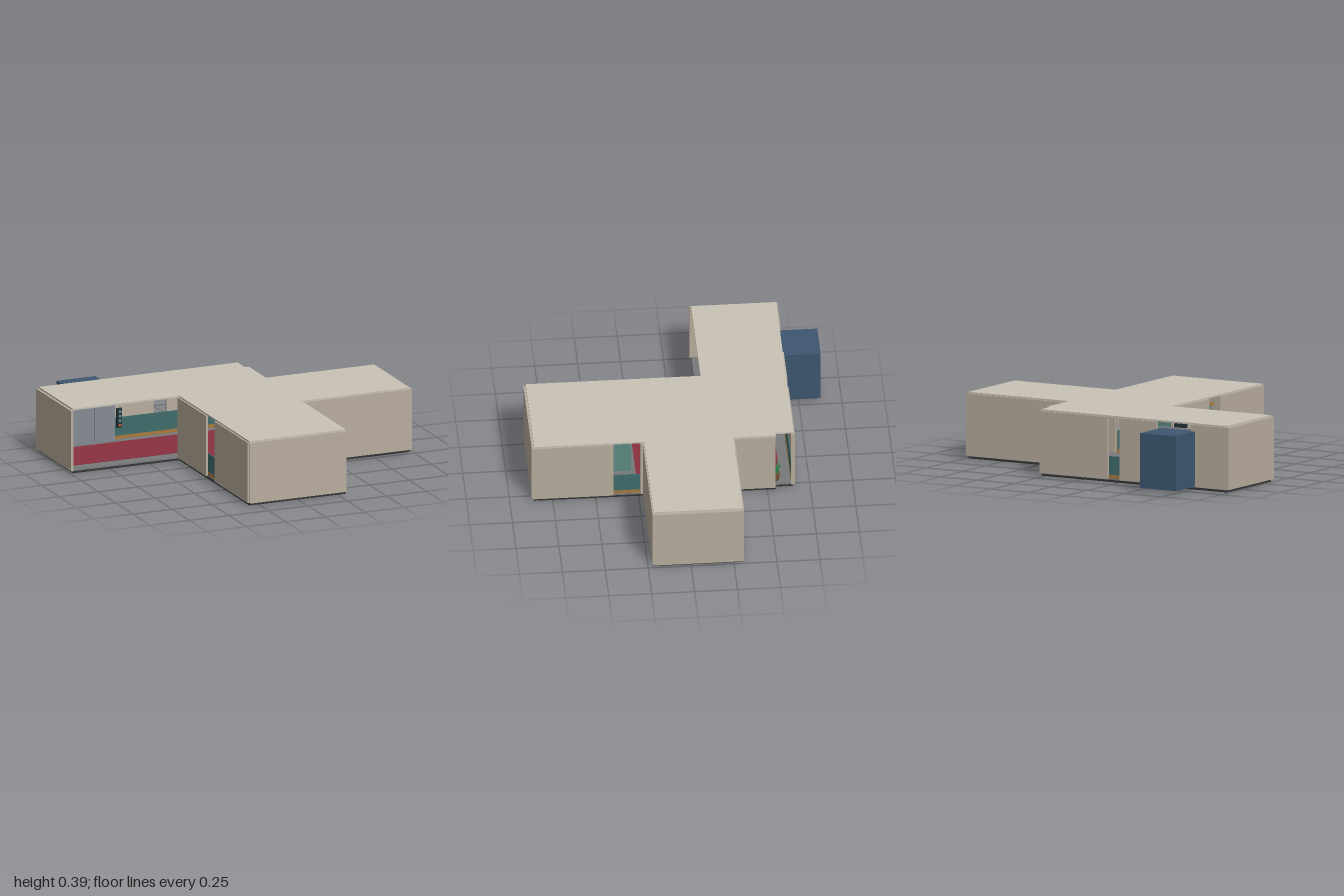
import * as THREE from 'three';

const mat = (color) => new THREE.MeshStandardMaterial({ color, flatShading: true });
const M = {
  wall: mat(0xb8ad9e), roof: mat(0xc8c2b6), base: mat(0x333536), floor: mat(0x77797a),
  teal: mat(0x406c6c), lightTeal: mat(0x5c8a82), wood: mat(0xa87a3c), red: mat(0x8a3040),
  steel: mat(0x868c94), blue: mat(0x3d5670), dark: mat(0x26323a), lamp: mat(0xc05a30),
  leaf: mat(0x2f8a4c), pot: mat(0x7a5238),
};

export function createModel() {
  const model = new THREE.Group();

  // box given by its limits along x, y and z
  const box = (name, m, x0, x1, y0, y1, z0, z1, parent = model) => {
    const mesh = new THREE.Mesh(new THREE.BoxGeometry(x1 - x0, y1 - y0, z1 - z0), m);
    mesh.position.set((x0 + x1) / 2, (y0 + y1) / 2, (z0 + z1) / 2);
    mesh.name = name;
    parent.add(mesh);
    return mesh;
  };

  // floor plan shared by base, floor and roof (x, z)
  const plan = [
    [-0.985, -0.655], [0.275, -0.655], [0.275, -0.55], [0.3, -0.55], [0.3, -0.302], [0.985, -0.302],
    [0.985, 0.217], [0.3, 0.217], [0.3, 0.858], [-0.31, 0.858], [-0.31, -0.16], [-0.985, -0.16],
  ];
  const slab = (name, m, y, h) => {
    const shape = new THREE.Shape(plan.map(([x, z]) => new THREE.Vector2(x, -z)));
    const geo = new THREE.ExtrudeGeometry(shape, { depth: h, bevelEnabled: false });
    const mesh = new THREE.Mesh(geo.rotateX(-Math.PI / 2), m);
    mesh.position.y = y;
    mesh.name = name;
    model.add(mesh);
  };
  slab('base', M.base, 0, 0.012);
  slab('floor', M.floor, 0.012, 0.008);
  slab('roof', M.roof, 0.38, 0.01);

  // outer walls with full-height openings between them (x0, x1, z0, z1)
  const walls = [
    [-0.985, -0.745, -0.662, -0.648], [-0.512, -0.26, -0.662, -0.648], [-0.18, 0.282, -0.662, -0.648],
    [-1, -0.985, -0.662, -0.15],
    [0.27, 0.282, -0.648, -0.64], [0.292, 0.306, -0.548, -0.31],
    [0.292, 0.985, -0.31, -0.296], [0.985, 1, -0.304, 0.218], [0.3, 0.985, 0.211, 0.225],
    [0.292, 0.306, 0.225, 0.24], [0.292, 0.306, 0.395, 0.858],
    [-0.31, 0.298, 0.856, 0.872],
    [-0.32, -0.306, 0.372, 0.858], [-0.32, -0.306, -0.16, 0.25],
  ];
  walls.forEach(([x0, x1, z0, z1]) => box('wall', M.wall, x0, x1, 0.015, 0.38, z0, z1));

  // wainscot with a wooden skirting, running on across the window openings
  const panels = [
    [-0.98, -0.78, -0.648, -0.643], [-0.52, 0.27, -0.648, -0.643],
    [-0.306, -0.301, -0.15, 0.856], [0.287, 0.292, 0.225, 0.856],
  ];
  panels.forEach(([x0, x1, z0, z1]) => {
    box('wainscot', M.teal, x0, x1, 0.04, 0.15, z0, z1);
    box('skirting', M.wood, x0 - 0.002, x1 + 0.002, 0.02, 0.04, z0 - 0.002, z1 + 0.002);
  });

  // rugs
  box('hallRug', M.red, -0.94, 0.2, 0.02, 0.024, -0.58, -0.24);
  box('lobbyRug', M.red, -0.2, 0.2, 0.02, 0.023, -0.24, 0.25);

  // lift: shaft behind the back wall, frame, doors, call panel and lamp
  const lift = new THREE.Group();
  lift.name = 'lift';
  model.add(lift);
  box('shaft', M.blue, -0.775, -0.53, 0.02, 0.342, -0.878, -0.645, lift);
  box('frame', M.steel, -0.785, -0.515, 0.02, 0.35, -0.645, -0.625, lift);
  for (const x of [-0.763, -0.648]) box('door', M.steel, x, x + 0.113, 0.025, 0.335, -0.625, -0.62, lift);
  box('lampHousing', M.dark, -0.69, -0.61, 0.35, 0.372, -0.625, -0.61, lift);
  box('lamp', M.lamp, -0.68, -0.62, 0.355, 0.367, -0.61, -0.606, lift);
  box('callPanel', M.dark, -0.505, -0.475, 0.095, 0.212, -0.63, -0.612, lift);
  for (let i = 0; i < 4; i++) {
    const y = 0.105 + i * 0.027;
    box('button', i ? M.lightTeal : M.lamp, -0.497, -0.483, y, y + 0.014, -0.612, -0.606, lift);
  }

  // cabinet in the front wing
  box('cabinet', M.lightTeal, -0.12, 0.08, 0.02, 0.283, 0.275, 0.6);
  box('cabinetTop', M.wood, -0.13, 0.09, 0.283, 0.3, 0.268, 0.61);

  // potted plant by the corner opening
  const plant = new THREE.Group();
  plant.name = 'plant';
  plant.position.set(0.235, 0.02, -0.555);
  model.add(plant);
  const pot = new THREE.Mesh(new THREE.CylinderGeometry(0.025, 0.018, 0.055, 8), M.pot);
  pot.name = 'pot';
  pot.position.y = 0.0275;
  plant.add(pot);
  for (let i = 0; i < 5; i++) {
    const a = (i / 5) * Math.PI * 2;
    const leaf = new THREE.Mesh(new THREE.ConeGeometry(0.013, 0.08, 5), M.leaf);
    leaf.name = 'leaf';
    leaf.position.set(Math.cos(a) * 0.015, 0.088, Math.sin(a) * 0.015);
    leaf.rotation.set(Math.sin(a) * 0.35, 0, -Math.cos(a) * 0.35);
    plant.add(leaf);
  }
  return model;
}
